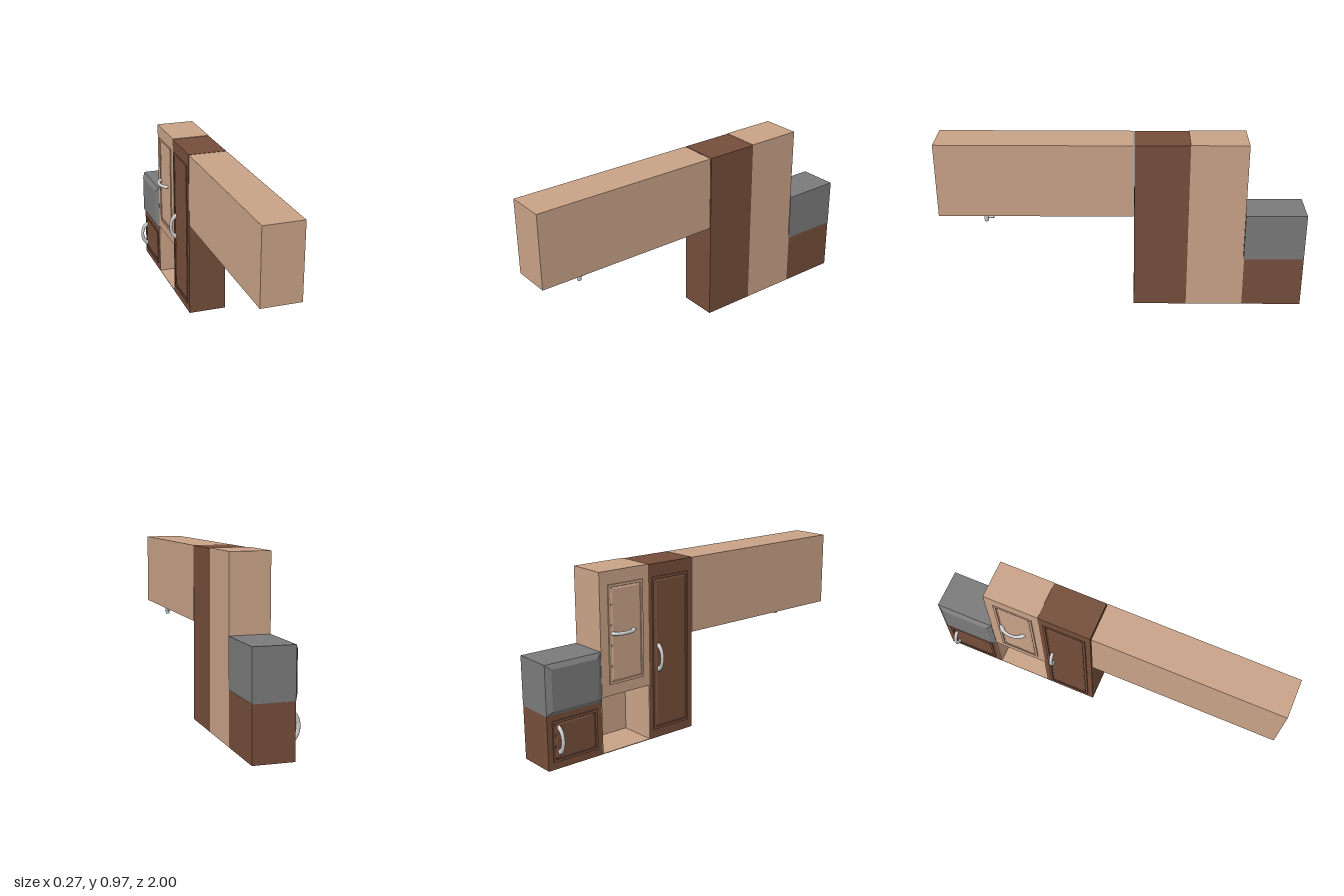
import * as THREE from 'three';

const mat = (color) => new THREE.MeshStandardMaterial({ color });
const tan = mat(0xc8a287), brown = mat(0x754e3a), grey = mat(0x7a7a7a);
const metal = mat(0xcccccc);

// Shared front (door side) and rear (wall side) planes of the cabinets
const X0 = -0.085, X1 = 0.131;

export function createModel() {
  const group = new THREE.Group();
  group.name = 'kitchenUnit';

  const add = (name, geometry, material) => {
    const mesh = new THREE.Mesh(geometry, material);
    mesh.name = name;
    group.add(mesh);
    return mesh;
  };
  const box = (name, x0, x1, y0, y1, z0, z1, material) =>
    add(name, new THREE.BoxGeometry(x1 - x0, y1 - y0, z1 - z0), material)
      .position.set((x0 + x1) / 2, (y0 + y1) / 2, (z0 + z1) / 2);
  const rect = (a0, a1, b0, b1, Type = THREE.Shape) => new Type([
    new THREE.Vector2(a0, b0), new THREE.Vector2(a1, b0),
    new THREE.Vector2(a1, b1), new THREE.Vector2(a0, b1),
  ]);

  // Door: thin raised frame with a bevelled panel inside it
  const door = (name, z0, z1, y0, y1, material) => {
    const frame = rect(z0, z1, y0, y1);
    const f = 0.014;
    frame.holes.push(rect(z0 + f, z1 - f, y0 + f, y1 - f, THREE.Path));
    const g = f + 0.01;
    const panel = rect(z0 + g, z1 - g, y0 + g, y1 - g);
    const parts = [
      ['Frame', frame, { depth: 0.006, bevelEnabled: false }],
      ['Panel', panel, { depth: 0.001, bevelThickness: 0.004, bevelSize: 0.006, bevelSegments: 1 }],
    ];
    for (const [suffix, shape, options] of parts) {
      const geometry = new THREE.ExtrudeGeometry(shape, options).rotateY(-Math.PI / 2);
      add(name + suffix, geometry, material).position.x = X0;
    }
  };

  // Handle: flattened half ring
  const handle = (name, y, z, horizontal, depth) => {
    const geometry = new THREE.TorusGeometry(0.065, 0.015, 14, 32, Math.PI)
      .rotateZ(Math.PI / 2).scale(depth / 0.08, 1, 0.65);
    if (horizontal) geometry.rotateX(Math.PI / 2);
    add(name, geometry, metal).position.set(X0, y, z);
  };

  // Long counter with a round basin set into its underside
  const bottom = 0.55, slab = 0.07, sinkX = 0.023, sinkZ = 0.66, sinkR = 0.077;
  const underside = rect(X0, X1, -0.055, 1);
  underside.holes.push(new THREE.Path().absarc(sinkX, sinkZ, sinkR, 0, Math.PI * 2, true));
  add('counterUnderside', new THREE.ExtrudeGeometry(underside,
    { depth: slab, bevelEnabled: false, curveSegments: 32 }).rotateX(Math.PI / 2), tan)
    .position.y = bottom + slab;
  box('counter', X0, X1, bottom + slab, 0.963, -0.055, 1, tan);
  const bowl = [];
  for (let i = 0; i <= 10; i++) {
    const a = (i / 10) * Math.PI / 2;
    bowl.push(new THREE.Vector2(sinkR * Math.cos(a), 0.066 * Math.sin(a)));
  }
  const bowlMaterial = tan.clone();
  bowlMaterial.side = THREE.DoubleSide;
  add('basin', new THREE.LatheGeometry(bowl, 40), bowlMaterial).position.set(sinkX, bottom, sinkZ);

  // Tap
  add('tapBody', new THREE.CylinderGeometry(0.015, 0.011, 0.06, 20), metal)
    .position.set(0.066, 0.52, 0.752);
  add('tapSpout', new THREE.CylinderGeometry(0.006, 0.008, 0.04, 14).rotateX(-Math.PI / 2), metal)
    .position.set(0.066, 0.513, 0.73);

  // Tall cupboard
  box('tallCupboard', X0, X1, 0, 0.963, -0.355, -0.06, brown);
  door('tallDoor', -0.33, -0.09, 0.05, 0.895, brown);
  handle('tallDoorHandle', 0.455, -0.295, false, 0.045);

  // Upper cupboard above an open niche
  box('upperCupboard', X0, X1, 0.31, 0.966, -0.665, -0.355, tan);
  door('upperDoor', -0.615, -0.395, 0.37, 0.895, tan);
  handle('upperDoorHandle', 0.64, -0.525, true, 0.045);
  const t = 0.004;
  box('nicheFloor', X0, X1, 0, t, -0.67, -0.355, tan);
  box('nicheBack', X1 - t, X1, t, 0.31, -0.67, -0.355, tan);
  box('nicheSideFront', X0, X1 - t, t, 0.31, -0.355 - t, -0.355, tan);
  box('nicheSideBack', X0, X1 - t, t, 0.31, -0.67, -0.67 + t, tan);

  // Low cupboard
  box('lowCupboard', X0, X1, 0, 0.29, -1, -0.67, brown);
  door('lowDoor', -0.97, -0.7, 0.04, 0.26, brown);
  handle('lowDoorHandle', 0.155, -0.935, false, 0.05);

  // Oven box with a chamfered front plate
  box('oven', X0, X1 + 0.002, 0.29, 0.556, -1, -0.667, grey);
  const plate = new THREE.BoxGeometry(0.017, 0.266, 0.333);
  const p = plate.attributes.position;
  for (let i = 0; i < p.count; i++) {
    if (p.getX(i) < 0) {
      p.setY(i, p.getY(i) - Math.sign(p.getY(i)) * 0.025);
      p.setZ(i, p.getZ(i) - Math.sign(p.getZ(i)) * 0.028);
    }
  }
  const flatPlate = plate.toNonIndexed();
  flatPlate.computeVertexNormals();
  add('ovenFront', flatPlate, grey).position.set(X0 - 0.0085, 0.423, -0.8335);

  return group;
}
